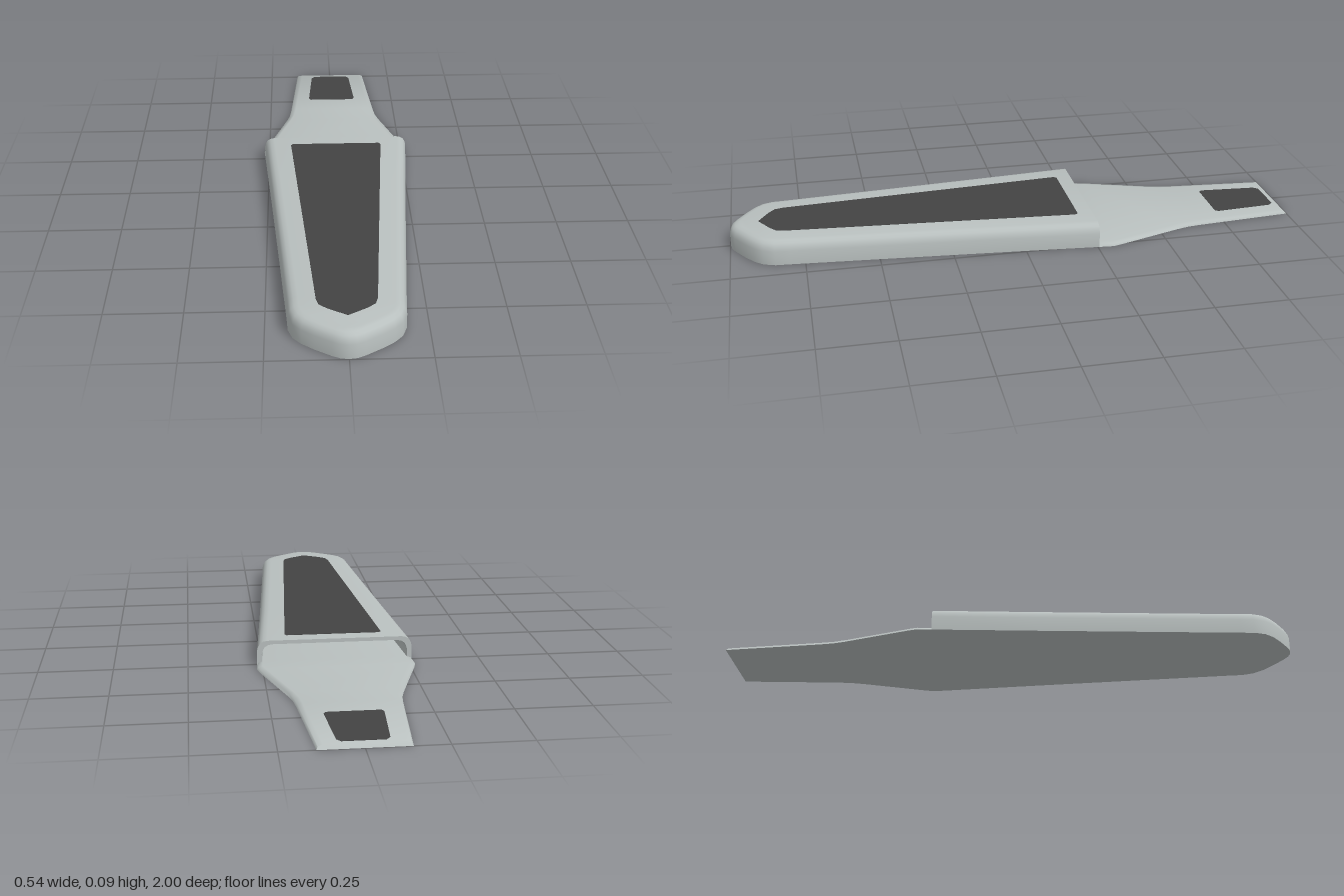
import * as THREE from 'three';
import { toCreasedNormals } from 'three/addons/utils/BufferGeometryUtils.js';

const grey = new THREE.MeshStandardMaterial({ color: 0xb9c0bf });
grey.name = 'grey body';
const dark = new THREE.MeshStandardMaterial({ color: 0x434343 });
dark.name = 'dark pad';

const SOLE = 0.012, TOP = 0.085, BACK = -0.255;

// Right half of the cap outline as [x, z], from the open back to the nose
const capEdge = [
  [0.266, BACK], [0.237, 0.1], [0.209, 0.46], [0.183, 0.8], [0.18, 0.85],
  [0.166, 0.89], [0.14, 0.92], [0.1, 0.95], [0.05, 0.982], [0.025, 0.994], [0, 0.998],
];
// Right half of the tail outline, from the end to the cap
const tailEdge = [
  [0.14, -1], [0.168, -0.66], [0.174, -0.61], [0.186, -0.565], [0.262, -0.335], [0.27, -0.305],
];

// Thin dark plate from a mirrored half outline
function pad(name, half, y) {
  const left = half.filter(([x]) => x > 0).reverse().map(([x, z]) => [-x, z]);
  const shape = new THREE.Shape([...half, ...left].map(([x, z]) => new THREE.Vector2(x, -z)));
  const geo = new THREE.ExtrudeGeometry(shape, { depth: 0.001, bevelEnabled: false });
  geo.rotateX(-Math.PI / 2).translate(0, y, 0);
  const mesh = new THREE.Mesh(geo, dark);
  mesh.name = name;
  return mesh;
}

// Arch-shaped cross-sections along an outline; profile holds [inset, y]
function archRows(edge, profile) {
  return edge.map(([x, z], i) => {
    let nx = 1, nz = 0;
    if (i === edge.length - 1) [nx, nz] = [0, 1];
    else if (i > 0) {
      const [ax, az] = edge[i - 1], [bx, bz] = edge[i + 1];
      const len = Math.hypot(bx - ax, bz - az);
      [nx, nz] = [(bz - az) / len, (ax - bx) / len];
    }
    const right = profile.map(([d, y]) => [Math.max(0, x - nx * d), y, z - nz * d]);
    const left = [...right].reverse().map(([px, py, pz]) => [-px, py, pz]);
    return [...right, ...left];
  });
}

// Skin between successive rows of points
function loft(name, rows, flip = false) {
  const pos = [];
  const tri = (a, b, c) => {
    const [p, q, r] = [a, b, c].map(v => new THREE.Vector3(...v));
    if (q.sub(p).cross(r.sub(p)).length() < 1e-9) return;
    pos.push(...a, ...(flip ? [...c, ...b] : [...b, ...c]));
  };
  for (let i = 0; i + 1 < rows.length; i++) {
    for (let j = 0; j + 1 < rows[i].length; j++) {
      const a = rows[i][j], b = rows[i][j + 1], c = rows[i + 1][j + 1], d = rows[i + 1][j];
      tri(a, b, c);
      tri(a, c, d);
    }
  }
  const geo = new THREE.BufferGeometry();
  geo.setAttribute('position', new THREE.Float32BufferAttribute(pos, 3));
  const mesh = new THREE.Mesh(toCreasedNormals(geo, 1), grey);
  mesh.name = name;
  return mesh;
}

export function createModel() {
  const model = new THREE.Group();
  model.name = 'slipper';

  // Thin sole running the full length, with softened edges and end
  const soleEdge = [...tailEdge, ...capEdge];
  const soleRows = archRows(soleEdge, [[0, 0], [0.004, 0.008], [0.02, SOLE]]);
  const endRow = soleRows[0].map(([x, , z]) => [x, 0, z]);
  soleRows[0] = soleRows[0].map(([x, y, z]) => [x, y, z + y]);
  const sole = new THREE.Group();
  sole.name = 'sole';
  sole.add(
    loft('soleTop', [endRow, ...soleRows]),
    loft('soleUnderside', archRows(soleEdge, [[0, 0]]), true),
  );
  model.add(sole);

  // Hollow toe cap: outer skin, lining and the rim of the opening
  const outer = [[0, 0], [0, 0.05], [0.004, 0.064], [0.01, 0.075], [0.021, 0.082], [0.035, TOP]];
  const inner = outer.map(([d, y], i) => [d + 0.016, i ? y - 0.013 : y]);
  const outerRows = archRows(capEdge, outer), innerRows = archRows(capEdge, inner);
  const cap = new THREE.Group();
  cap.name = 'toeCap';
  cap.add(
    loft('capOuter', outerRows),
    loft('capLining', innerRows, true),
    loft('capRim', [outerRows[0], innerRows[0]], true),
  );
  model.add(cap);

  // Inlaid dark pads on the cap and at the tail
  const capPad = [[0.16, -0.202], [0.167, -0.192], [0.094, 0.81], [0.086, 0.84], [0.06, 0.862], [0, 0.898]];
  const tailPad = [[0.066, -0.972], [0.079, -0.955], [0.093, -0.755], [0.086, -0.743]];
  model.add(pad('capPad', capPad, TOP));
  model.add(pad('tailPad', tailPad, SOLE));
  return model;
}
